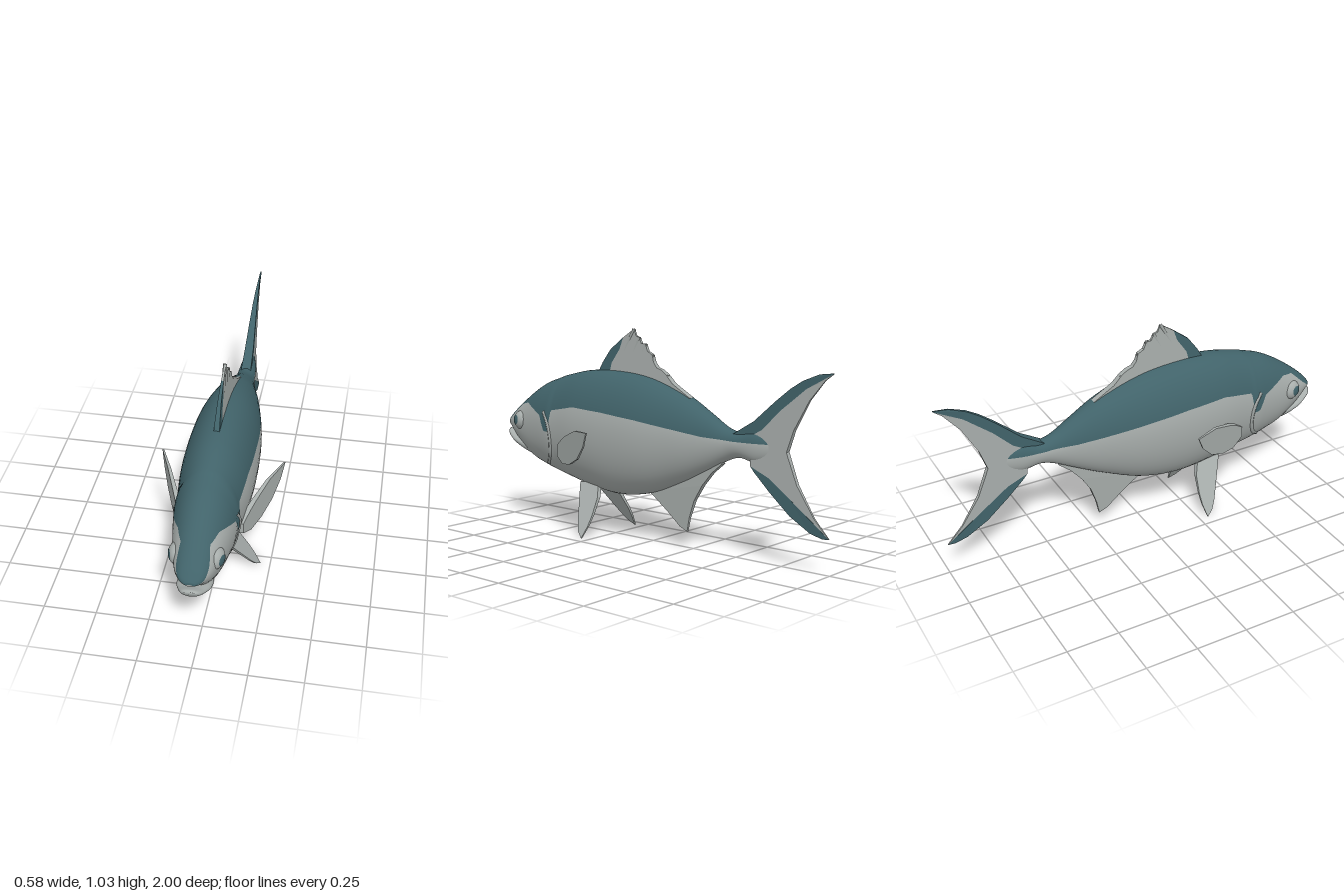
import * as THREE from 'three';

const teal = new THREE.MeshStandardMaterial({ color: 0x41636a });
teal.name = 'backTeal';
const grey = new THREE.MeshStandardMaterial({ color: 0xa8aeac });
grey.name = 'bellyGrey';

// Body stations, nose to tail: z, top, bottom, half width
const BODY = [
  [0.99, 0.518, 0.498, 0.022], [0.975, 0.535, 0.487, 0.045], [0.95, 0.562, 0.468, 0.064],
  [0.9, 0.605, 0.415, 0.086], [0.8, 0.678, 0.338, 0.112], [0.7, 0.735, 0.302, 0.132],
  [0.6, 0.77, 0.276, 0.146], [0.56, 0.783, 0.266, 0.144], [0.4, 0.815, 0.233, 0.162],
  [0.2, 0.822, 0.21, 0.168], [0, 0.8, 0.24, 0.156], [-0.2, 0.735, 0.32, 0.117],
  [-0.35, 0.656, 0.395, 0.076], [-0.45, 0.6, 0.447, 0.052], [-0.52, 0.585, 0.468, 0.046],
  [-0.61, 0.6, 0.455, 0.036], [-0.72, 0.56, 0.49, 0.008],
];
const JAW = [
  [1.0, 0.474, 0.46, 0.022], [0.985, 0.476, 0.436, 0.042], [0.95, 0.462, 0.414, 0.06],
  [0.9, 0.45, 0.388, 0.076], [0.82, 0.43, 0.352, 0.07], [0.74, 0.39, 0.335, 0.03],
];
// Lower edge of the teal back: z, y
const EDGE = [
  [1, 0.5], [0.97, 0.51], [0.92, 0.55], [0.85, 0.615], [0.78, 0.63], [0.72, 0.61], [0.65, 0.58],
  [0.615, 0.5], [0.585, 0.5], [0.565, 0.61], [0.4, 0.64], [0.2, 0.63], [0, 0.61],
  [-0.2, 0.58], [-0.35, 0.555], [-0.5, 0.545], [-0.72, 0.545],
];

function segment(list, z) {
  let i = 0;
  while (i < list.length - 2 && z < list[i + 1][0]) i++;
  return i;
}

function edgeAt(z) {
  const i = segment(EDGE, z), [a, b] = [EDGE[i], EDGE[i + 1]];
  return THREE.MathUtils.lerp(a[1], b[1], (z - a[0]) / (b[0] - a[0]));
}

// Smooth interpolation of the stations at z
function sectionAt(list, z) {
  const i = segment(list, z), last = list.length - 1;
  const a = list[i], b = list[i + 1], d = b[0] - a[0], t = (z - a[0]) / d;
  const slope = (j, k) => {
    const p = list[Math.max(j - 1, 0)], q = list[Math.min(j + 1, last)];
    return (q[k] - p[k]) / (q[0] - p[0]);
  };
  const [top, bottom, w] = [1, 2, 3].map((k) =>
    a[k] * (1 + 2 * t) * (1 - t) ** 2 + b[k] * t * t * (3 - 2 * t) +
    d * (slope(i, k) * t * (1 - t) ** 2 - slope(i + 1, k) * t * t * (1 - t)));
  const mid = bottom + (top - bottom) * 0.53;
  return { top, bottom, w, mid };
}

// Loft of oval rings: the first UP columns are the back, the rest the belly
function loft(list, steps, edge, materials) {
  const UP = 20, DOWN = 28, N = UP + DOWN, pos = [], back = [], belly = [];
  const zs = [];
  for (let i = 0; i < list.length - 1; i++)
    for (let k = 0; k < steps; k++) zs.push(THREE.MathUtils.lerp(list[i][0], list[i + 1][0], k / steps));
  zs.push(list[list.length - 1][0]);
  for (const z of zs) {
    const s = sectionAt(list, z), e = edge ? edge(z) : s.mid;
    const h = e > s.mid ? s.top - s.mid : s.mid - s.bottom;
    const t0 = Math.asin(THREE.MathUtils.clamp((e - s.mid) / h, -0.9, 0.95));
    for (let j = 0; j < N; j++) {
      const t = j < UP ? t0 + (Math.PI - 2 * t0) * j / UP
        : Math.PI - t0 + (Math.PI + 2 * t0) * (j - UP) / DOWN;
      const sy = Math.sin(t);
      pos.push(s.w * Math.cos(t), s.mid + sy * (sy > 0 ? s.top - s.mid : s.mid - s.bottom), z);
    }
  }
  const centre = pos.length / 3, s0 = sectionAt(list, zs[0]);
  pos.push(0, s0.mid, zs[0]);
  for (let j = 0; j < N; j++) {
    const out = j < UP ? back : belly, n = (j + 1) % N;
    out.push(centre, j, n);
    for (let i = 0; i < zs.length - 1; i++) {
      const a = i * N + j, b = a + N, c = i * N + n, d = c + N;
      out.push(a, b, c, b, d, c);
    }
  }
  const g = new THREE.BufferGeometry();
  g.setAttribute('position', new THREE.Float32BufferAttribute(pos, 3));
  g.setIndex([...back, ...belly]);
  g.addGroup(0, back.length, 0);
  g.addGroup(back.length, belly.length, 1);
  g.computeVertexNormals();
  return new THREE.Mesh(g, materials);
}

// Thin plate from a (z, y) outline; half gives its half thickness, shift its sideways lean
function fin(name, points, material, half, shift = () => 0) {
  const shape = new THREE.Shape(points.map(([z, y]) => new THREE.Vector2(-z, y)));
  const g = new THREE.ExtrudeGeometry(shape, { depth: 1, bevelEnabled: false });
  g.translate(0, 0, -0.5).rotateY(Math.PI / 2);
  const p = g.attributes.position;
  for (let i = 0; i < p.count; i++) {
    const y = p.getY(i), z = p.getZ(i);
    p.setX(i, Math.sign(p.getX(i)) * half(z, y) + shift(z, y));
  }
  g.computeVertexNormals();
  const m = new THREE.Mesh(g, material);
  m.name = name;
  return m;
}

function tube(name, points, radius, material) {
  const curve = new THREE.CatmullRomCurve3(points.map((p) => new THREE.Vector3(...p)));
  const m = new THREE.Mesh(new THREE.TubeGeometry(curve, 16, radius, 6), material);
  m.name = name;
  return m;
}

export function createModel() {
  const fish = new THREE.Group();
  fish.name = 'fish';

  const body = loft(BODY, 6, edgeAt, [teal, grey]);
  body.name = 'body';
  const jaw = loft(JAW, 5, null, [grey, grey]);
  jaw.name = 'lowerJaw';
  fish.add(body, jaw);

  // Dorsal fin: teal leading edge, ragged grey web with rays
  const dorsalHalf = (z, y) => THREE.MathUtils.clamp(0.016 - (y - 0.76) * 0.045, 0.003, 0.016);
  const rag = [[0.12, 1.03], [0.105, 0.995], [0.085, 0.99], [0.07, 0.96], [0.045, 0.96], [0.03, 0.925],
    [0.0, 0.91], [-0.01, 0.875], [-0.03, 0.85], [-0.06, 0.84], [-0.09, 0.82], [-0.13, 0.78], [-0.235, 0.72]];
  fish.add(
    fin('dorsalFinFront', [[0.36, 0.79], [0.32, 0.86], [0.27, 0.925], [0.19, 0.985], [0.21, 0.93],
      [0.26, 0.86], [0.28, 0.79]], teal, dorsalHalf),
    fin('dorsalFinWeb', [[0.28, 0.79], [0.26, 0.86], [0.21, 0.93], [0.19, 0.985], ...rag,
      [-0.22, 0.7], [0, 0.77]], grey, dorsalHalf));
  for (let i = 0; i < 11; i += 2) {
    const [z, y] = rag[i], root = 0.24 - i * 0.033;
    fish.add(tube('dorsalRay', [[0, sectionAt(BODY, root).top - 0.01, root],
      [0, (y + 0.8) / 2, (z + root) / 2 + 0.005], [0, y, z]], 0.009, grey));
  }

  // Tail fin: grey fork with teal outer edges
  const tailHalf = (z) => THREE.MathUtils.clamp(0.022 + (z + 0.6) * 0.055, 0.003, 0.025);
  const upper = [[-0.58, 0.57], [-0.65, 0.61], [-0.74, 0.7], [-0.87, 0.805], [-1, 0.875]];
  const lower = [[-0.995, 0.162], [-0.9, 0.235], [-0.795, 0.315], [-0.69, 0.395], [-0.59, 0.44]];
  fish.add(
    fin('tailUpperEdge', [[-0.49, 0.575], [-0.607, 0.645], [-0.715, 0.74], [-0.79, 0.8], [-0.85, 0.838],
      [-0.93, 0.87], [-1, 0.878], ...upper.slice().reverse()], teal, tailHalf),
    fin('tailWeb', [...upper, [-0.96, 0.845], [-0.885, 0.755], [-0.81, 0.62], [-0.775, 0.52],
      [-0.83, 0.38], [-0.917, 0.245], ...lower], grey, tailHalf),
    fin('tailLowerEdge', [...lower, [-0.61, 0.415], [-0.69, 0.335], [-0.795, 0.24],
      [-0.9, 0.176], [-0.96, 0.16]], teal, tailHalf));

  fish.add(fin('analFin', [[0.02, 0.25], [0, 0.235], [-0.1, 0.16], [-0.17, 0.1], [-0.215, 0.08],
    [-0.23, 0.15], [-0.26, 0.235], [-0.31, 0.315], [-0.365, 0.38], [-0.425, 0.43], [-0.4, 0.44],
    [-0.2, 0.36], [0, 0.27]], grey,
  (z, y) => THREE.MathUtils.clamp(0.006 + (y - 0.1) * 0.035, 0.005, 0.014)));

  // Paired parts; the outlines lean outwards on each side
  for (const side of [1, -1]) {
    const tag = side > 0 ? 'left' : 'right';
    fish.add(fin(tag + 'PelvicFin', [[0.44, 0.25], [0.4, 0.165], [0.355, 0.07], [0.33, 0.03], [0.295, 0.003],
      [0.282, 0.06], [0.28, 0.11], [0.288, 0.19], [0.32, 0.26]], grey,
    (z, y) => 0.004 + Math.max(0, y) * 0.035, (z, y) => side * (0.05 + (0.24 - y) * 0.63)));
    fish.add(fin(tag + 'PectoralFin', [[0.51, 0.44], [0.46, 0.475], [0.41, 0.5], [0.3, 0.54], [0.17, 0.547],
      [0.205, 0.475], [0.275, 0.405], [0.365, 0.365], [0.445, 0.355], [0.51, 0.385]], grey,
    (z) => 0.004 + (z - 0.17) * 0.03, (z) => side * (0.14 + (0.5 - z) * 0.45)));

    // Rim of the gill cover, laid on the body surface
    const rim = [[0.62, 0.6], [0.585, 0.54], [0.575, 0.46], [0.595, 0.38], [0.65, 0.325]].map(([z, y]) => {
      const s = sectionAt(BODY, z), h = y > s.mid ? s.top - s.mid : s.mid - s.bottom;
      return [side * (s.w * Math.sqrt(1 - ((y - s.mid) / h) ** 2) - 0.004), y, z];
    });
    fish.add(tube(tag + 'GillRim', rim, 0.01, grey));

    // Eye with a pupil cap
    const eye = new THREE.Group();
    eye.name = tag + 'Eye';
    const ball = new THREE.Mesh(new THREE.SphereGeometry(1, 24, 16), grey);
    ball.name = 'eyeball';
    const cap = new THREE.SphereGeometry(1.03, 20, 4, 0, Math.PI * 2, 0, 0.52);
    cap.applyQuaternion(new THREE.Quaternion().setFromUnitVectors(
      new THREE.Vector3(0, 1, 0), new THREE.Vector3(side, 0.08, 0.15).normalize()));
    const pupil = new THREE.Mesh(cap, teal);
    pupil.name = 'pupil';
    eye.add(ball, pupil);
    eye.position.set(side * 0.084, 0.533, 0.838);
    eye.scale.set(0.037, 0.05, 0.052);
    eye.rotation.y = -side * 0.25;
    fish.add(eye);
  }
  return fish;
}
